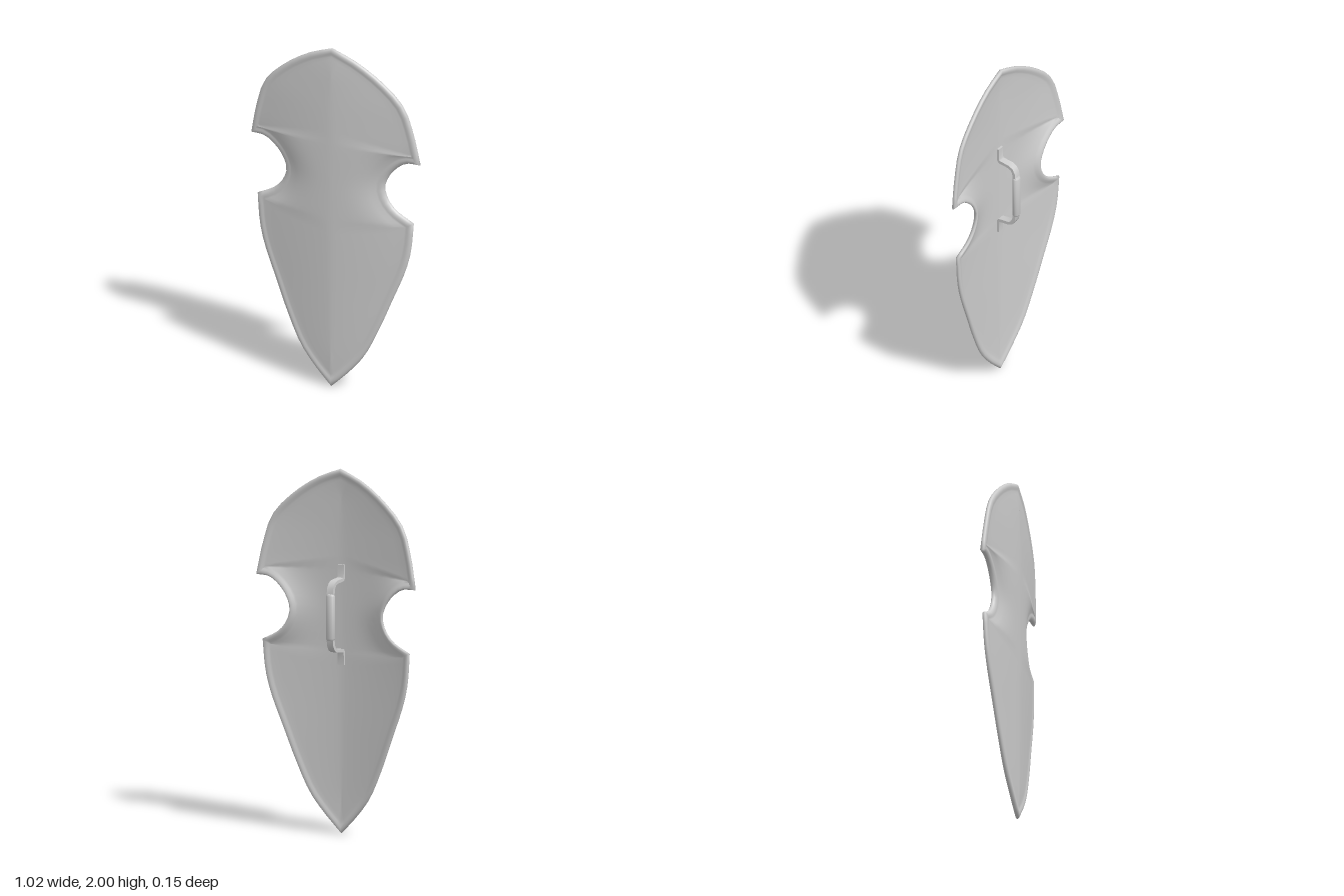
import * as THREE from 'three';
import { mergeVertices, toCreasedNormals } from 'three/addons/utils/BufferGeometryUtils.js';

const steel = new THREE.MeshStandardMaterial({ color: 0xcccccc });
steel.name = 'plain steel';

// Half outline in three arcs: [x, y, z of rim], with the ridge heights its rows start from
const ARCS = [
  { ridge: [1.85, 1.5], power: [1.4, 1.6], n: 12, pts: [[0, 2, 0.049], [0.14, 1.945, 0.043], [0.3, 1.84, 0.03],
    [0.42, 1.715, 0.019], [0.475, 1.555, 0.01], [0.51, 1.385, 0.001]] },
  { ridge: [1.5, 0.95], power: [1.6, 1.6], n: 16, pts: [[0.51, 1.385, 0.001], [0.425, 1.38, 0.001], [0.35, 1.325, 0.001],
    [0.308, 1.26, 0.001], [0.297, 1.21, 0.001], [0.318, 1.145, 0.001], [0.366, 1.09, 0.001], [0.47, 1.035, 0.003]] },
  { ridge: [0.95, 0.15], power: [1.6, 1.4], n: 18, pts: [[0.47, 1.035, 0.003], [0.455, 0.87, 0.007], [0.425, 0.75, 0.012],
    [0.345, 0.55, 0.023], [0.275, 0.38, 0.033], [0.19, 0.21, 0.043], [0.1, 0.1, 0.051], [0, 0.002, 0.057]] },
];

// Rim bead: [distance from the edge, half thickness]
const BEAD = [[0.045, 0.006], [0.034, 0.008], [0.024, 0.012], [0.012, 0.0125], [0.004, 0.008], [0, 0]];
const INNER = [0, 0.06, 0.15, 0.3, 0.45, 0.6, 0.75, 0.88];

function ridgeZ(y) {
  return 0.068 - 0.012 * Math.pow(Math.max(0, (y - 1.3) / 0.7), 2) - 0.007 * Math.max(0, (0.9 - y) / 0.9);
}

function outlineRows() {
  const rows = [];
  ARCS.forEach((arc, k) => {
    const curve = new THREE.CatmullRomCurve3(arc.pts.map((p) => new THREE.Vector3(...p)));
    curve.getSpacedPoints(arc.n).forEach((p, i) => {
      if (k > 0 && i === 0) return;
      const u = i / arc.n;
      const cy = THREE.MathUtils.lerp(...arc.ridge, u);
      const notch = k === 1 ? 1.2 * Math.sin(Math.PI * u) : 0;
      rows.push({ p, cy, power: THREE.MathUtils.lerp(...arc.power, u) + notch });
    });
  });
  rows[0].p.x = rows[rows.length - 1].p.x = 0;
  return rows;
}

// Mitred inward direction at an outline point
function inward(a, p, b) {
  const n1 = new THREE.Vector2(p.y - a.y, a.x - p.x).normalize();
  const n2 = new THREE.Vector2(b.y - p.y, p.x - b.x).normalize();
  const k = Math.max(0.6, 1 + n1.dot(n2));
  return n1.add(n2).divideScalar(k);
}

function shieldGeometry() {
  const rows = outlineRows();
  const last = rows.length - 1;
  const mirror = (p) => new THREE.Vector3(-p.x, p.y, p.z);
  const rings = rows.map(({ p, cy, power }, i) => {
    const before = i > 0 ? rows[i - 1].p : mirror(rows[1].p);
    const after = i < last ? rows[i + 1].p : mirror(rows[last - 1].p);
    const dir = inward(before, p, after);
    if (i === 0 || i === last) dir.x = 0;
    const length = Math.hypot(p.x, p.y - cy);
    const surfaceZ = (r) => p.z + (ridgeZ(cy) - p.z) * (1 - 0.12 * r - 0.88 * Math.pow(r, power));
    const inset = BEAD[0][0];
    const ix = p.x + dir.x * inset, iy = p.y + dir.y * inset;
    const line = INNER.map((s) => [ix * s, cy + (iy - cy) * s, surfaceZ(s * (1 - inset / length)), 0.006]);
    BEAD.forEach(([d, h]) => line.push([p.x + dir.x * d, p.y + dir.y * d, surfaceZ(1 - d / length), h]));
    const front = line.map(([x, y, z, h]) => [x, y, z + h]);
    const back = line.slice(0, -1).reverse().map(([x, y, z, h]) => [x, y, z - h]);
    return front.concat(back);
  });

  const pos = [], index = [];
  const m = rings[0].length;
  for (const side of [1, -1]) {
    const base = pos.length / 3;
    rings.forEach((ring) => ring.forEach(([x, y, z]) => pos.push(x * side, y, z)));
    for (let i = 0; i < last; i++) {
      for (let j = 0; j < m - 1; j++) {
        const a = base + i * m + j, b = a + 1, c = a + m, d = c + 1;
        if (side > 0) index.push(a, c, b, b, c, d);
        else index.push(a, b, c, b, d, c);
      }
    }
    // Centre strips between the first and last ridge points close on the mirrored half
  }
  const geo = new THREE.BufferGeometry();
  geo.setAttribute('position', new THREE.Float32BufferAttribute(pos, 3));
  geo.setIndex(index);
  const merged = mergeVertices(geo, 1e-5);
  merged.computeVertexNormals();
  return merged;
}

// Flat bar following a (z, y) path, extruded across x
function barGeometry(path, thickness, width) {
  const pts = path.map((p) => new THREE.Vector2(...p));
  const offset = (sign) => pts.map((p, i) => {
    const a = pts[Math.max(0, i - 1)], b = pts[Math.min(pts.length - 1, i + 1)];
    const n = new THREE.Vector2(a.y - b.y, b.x - a.x).normalize();
    return p.clone().addScaledVector(n, sign * thickness / 2);
  });
  const shape = new THREE.Shape([...offset(1), ...offset(-1).reverse()]);
  const geo = new THREE.ExtrudeGeometry(shape, { depth: width, bevelEnabled: false });
  geo.rotateY(-Math.PI / 2);
  geo.translate(width / 2, 0, 0);
  return toCreasedNormals(geo, 0.6);
}

function add(parent, name, geometry) {
  const mesh = new THREE.Mesh(geometry, steel);
  mesh.name = name;
  parent.add(mesh);
  return mesh;
}

export function createModel() {
  const model = new THREE.Group();
  model.name = 'shield';
  add(model, 'shieldPlate', shieldGeometry());

  // Handle on the back: two bent brackets with flat feet and a thicker grip
  const handle = new THREE.Group();
  handle.name = 'handle';
  handle.position.y = 1.2;
  model.add(handle);
  const bracket = [[0.058, 0.275], [0.057, 0.21], [0.048, 0.195], [-0.015, 0.188], [-0.035, 0.178],
    [-0.049, 0.155], [-0.054, 0.11]];
  for (const s of [1, -1]) {
    const path = bracket.map(([z, y]) => [z, y * s]);
    add(handle, s > 0 ? 'upperBracket' : 'lowerBracket', barGeometry(path, 0.018, 0.04));
  }
  const profile = [[0, -0.128], [0.019, -0.128], [0.026, -0.118], [0.026, 0.118], [0.019, 0.128], [0, 0.128]];
  const lathe = new THREE.LatheGeometry(profile.map((p) => new THREE.Vector2(...p)), 12);
  const grip = add(handle, 'grip', toCreasedNormals(lathe, 0.6));
  grip.scale.z = 0.75;
  grip.position.z = -0.055;
  return model;
}
